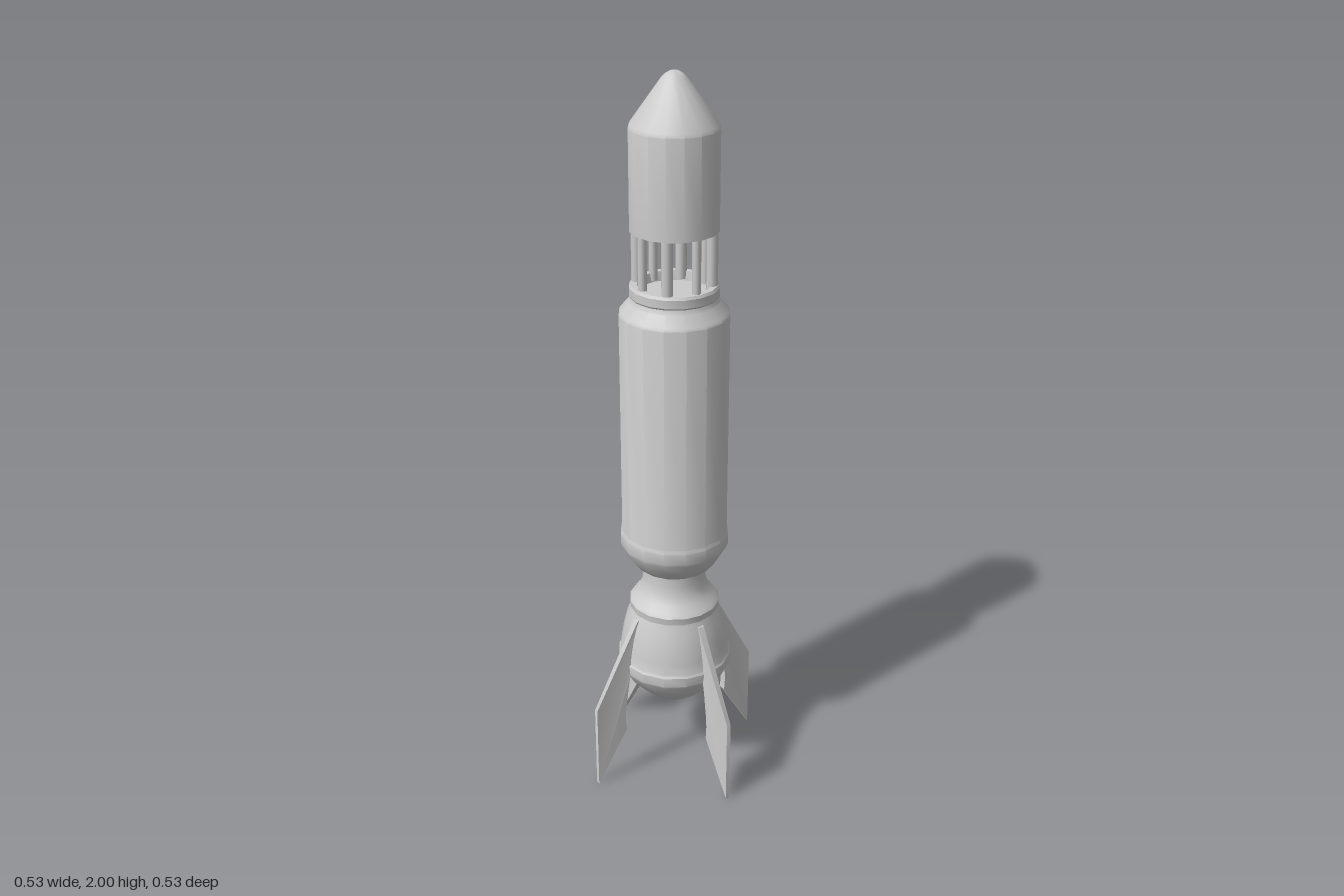
import * as THREE from 'three';
import { toCreasedNormals } from 'three/addons/utils/BufferGeometryUtils.js';

const SIDES = 16;
const material = new THREE.MeshStandardMaterial({ color: 0xcccccc });

function addMesh(parent, name, geometry) {
  const mesh = new THREE.Mesh(geometry, material);
  mesh.name = name;
  parent.add(mesh);
  return mesh;
}

// Turned part: [radius, height] pairs from bottom to top
function turned(parent, name, profile) {
  const points = profile.map(([r, y]) => new THREE.Vector2(r, y));
  const lathe = new THREE.LatheGeometry(points, SIDES);
  return addMesh(parent, name, toCreasedNormals(lathe, 0.5));
}

// Swept fin outline, thick at the root and thin at the outer edge
function finGeometry() {
  const shape = new THREE.Shape();
  shape.moveTo(0.115, 0.505);
  shape.lineTo(0.13, 0.50);
  shape.lineTo(0.266, 0.25);
  shape.lineTo(0.266, 0.0);
  shape.lineTo(0.172, 0.155);
  shape.quadraticCurveTo(0.179, 0.20, 0.168, 0.26);
  shape.quadraticCurveTo(0.163, 0.31, 0.155, 0.345);
  shape.lineTo(0.14, 0.40);
  shape.closePath();
  const geometry = new THREE.ExtrudeGeometry(shape, { depth: 2, bevelEnabled: false, curveSegments: 5 });
  geometry.translate(0, 0, -1);
  const p = geometry.attributes.position;
  for (let i = 0; i < p.count; i++) {
    const t = THREE.MathUtils.clamp((p.getX(i) - 0.14) / 0.126, 0, 1);
    const rootHalf = p.getY(i) > 0.45 ? 0.009 : 0.0125;
    p.setZ(i, p.getZ(i) * THREE.MathUtils.lerp(rootHalf, 0.006, t));
  }
  geometry.computeVertexNormals();
  return toCreasedNormals(geometry, 0.5);
}

export function createModel() {
  const rocket = new THREE.Group();
  rocket.name = 'rocket';

  // Rounded tail bulb with seam band
  turned(rocket, 'tailBulb', [
    [0, 0.21], [0.035, 0.214], [0.066, 0.228], [0.10, 0.256], [0.132, 0.291],
    [0.157, 0.328], [0.16, 0.335], [0.16, 0.362], [0.156, 0.368],
    [0.152, 0.40], [0.145, 0.44], [0.135, 0.48], [0.122, 0.515],
  ]);

  // Flared waist and collar
  turned(rocket, 'waist', [
    [0.115, 0.512], [0.124, 0.515], [0.126, 0.535], [0.119, 0.546],
    [0.103, 0.562], [0.091, 0.588], [0.087, 0.615], [0.087, 0.65],
  ]);

  // Main body with lower band and upper shoulder
  turned(rocket, 'body', [
    [0, 0.643], [0.09, 0.643], [0.106, 0.652], [0.128, 0.68], [0.146, 0.712],
    [0.149, 0.722], [0.149, 0.752], [0.145, 0.762], [0.145, 1.385],
    [0.141, 1.393], [0.118, 1.42], [0.114, 1.432],
  ]);

  // Open collar cup under the struts
  turned(rocket, 'collar', [
    [0.110, 1.426], [0.117, 1.436], [0.117, 1.458], [0.113, 1.465],
    [0.097, 1.465], [0.093, 1.44], [0, 1.44],
  ]);

  // Ring of struts
  const struts = new THREE.Group();
  struts.name = 'struts';
  for (let i = 0; i < 8; i++) {
    const a = (i * Math.PI) / 4;
    const r = i % 2 ? 0.015 : 0.0115;
    const strut = addMesh(struts, 'strut', new THREE.CylinderGeometry(r, r, 0.17, 8));
    strut.position.set(Math.sin(a) * 0.097, 1.53, Math.cos(a) * 0.097);
  }
  rocket.add(struts);

  // Nose cone
  turned(rocket, 'nose', [
    [0, 1.606], [0.115, 1.606], [0.115, 1.862], [0.111, 1.872],
    [0.033, 1.981], [0.022, 1.992], [0.011, 1.998], [0, 2.0],
  ]);

  // Four fins
  const fin = finGeometry();
  for (let i = 0; i < 4; i++) {
    addMesh(rocket, 'fin', fin).rotation.y = (i * Math.PI) / 2;
  }
  return rocket;
}
